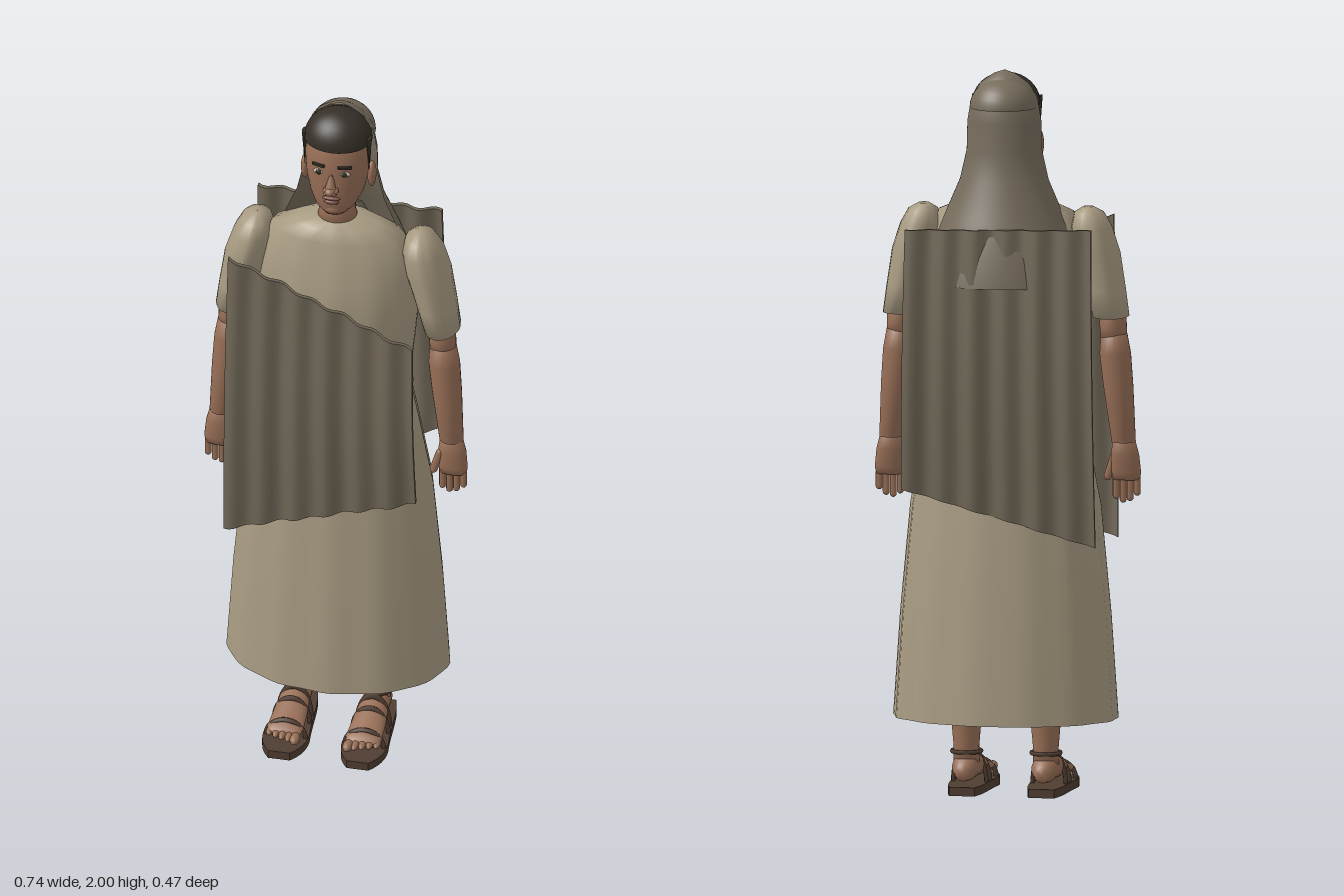
import * as THREE from 'three';

const mat = (name, color, side = THREE.FrontSide) => {
  const m = new THREE.MeshStandardMaterial({ color, side });
  m.name = name;
  return m;
};

// Elliptical rings [y, rx, rz, cx, cz] listed from top to bottom, skinned into one smooth surface.
function loft(rings, { sides = 24, folds = 0, depth = 0, closed = true } = {}) {
  const pos = [], idx = [];
  const first = rings[0], last = rings[rings.length - 1];
  const shrink = r => [r[0], 0.0005, 0.0005, r[3], r[4]];
  const all = closed ? [shrink(first), ...rings, shrink(last)] : rings;
  all.forEach(([y, rx, rz, cx = 0, cz = 0]) => {
    for (let i = 0; i < sides; i++) {
      const a = (i / sides) * Math.PI * 2;
      const k = 1 + depth * Math.sin(a * folds + 0.6) * (0.7 + 0.3 * Math.cos(a * 3));
      pos.push(cx + rx * k * Math.sin(a), y, cz + rz * k * Math.cos(a));
    }
  });
  for (let j = 0; j < all.length - 1; j++) {
    for (let i = 0; i < sides; i++) {
      const u = j * sides + i, u1 = j * sides + (i + 1) % sides;
      idx.push(u, u + sides, u1, u + sides, u1 + sides, u1);
    }
  }
  const g = new THREE.BufferGeometry();
  g.setAttribute('position', new THREE.Float32BufferAttribute(pos, 3));
  g.setIndex(idx);
  g.computeVertexNormals();
  return g;
}

// Hanging cloth: a thin box bent into vertical pleats between sloping top and bottom edges.
function clothPanel(z0, out, topY, bottomY) {
  const g = new THREE.BoxGeometry(1, 1, 0.012, 40, 10, 1);
  const p = g.attributes.position;
  for (let i = 0; i < p.count; i++) {
    const u = p.getX(i) + 0.5, v = p.getY(i) + 0.5;
    const top = THREE.MathUtils.lerp(topY[0], topY[1], u);
    const bottom = THREE.MathUtils.lerp(bottomY[0], bottomY[1], u);
    const x = THREE.MathUtils.lerp(-0.28 + 0.012 * v, 0.257 - 0.01 * v, u);
    const wave = 0.008 * Math.sin(u * Math.PI * 12) + 0.003 * Math.sin(u * 17);
    const bow = 0.018 * Math.sin(v * Math.PI);
    p.setXYZ(i, x, THREE.MathUtils.lerp(bottom, top, v), z0 + p.getZ(i) + wave + out * bow);
  }
  g.computeVertexNormals();
  return g;
}

export function createModel() {
  const model = new THREE.Group();
  const tunic = mat('tunic linen', 0xa89b82, THREE.DoubleSide);
  const shawl = mat('shawl wool', 0x716858);
  const veilCloth = mat('veil cloth', 0x766c5c, THREE.DoubleSide);
  const skin = mat('skin', 0x986f57);
  const hair = mat('dark hair', 0x352f27);
  const leather = mat('sandal leather', 0x4f3d31);
  const eyeWhite = mat('eye white', 0xb8ab9a);
  const lip = mat('lips', 0x754b3e);

  const add = (name, geo, material, parent = model) => {
    const m = new THREE.Mesh(geo, material);
    m.name = name;
    parent.add(m);
    return m;
  };
  const ball = (name, material, pos, size, parent = model) => {
    const m = add(name, new THREE.SphereGeometry(1, 16, 10), material, parent);
    m.position.set(...pos);
    m.scale.set(...size);
    return m;
  };
  const group = name => {
    const g = new THREE.Group();
    g.name = name;
    model.add(g);
    return g;
  };

  // Tunic: bodice, belt and long skirt
  add('bodice', loft([
    [1.66, 0.062, 0.055, 0, 0.005], [1.64, 0.115, 0.075, 0, 0], [1.61, 0.185, 0.092, 0, 0],
    [1.5, 0.212, 0.125, 0, -0.006], [1.4, 0.222, 0.147, 0, -0.012],
    [1.28, 0.21, 0.145, 0, -0.014], [1.1, 0.19, 0.135, 0, -0.014],
  ], { sides: 48, folds: 12, depth: 0.018 }), tunic);
  add('belt', loft([[1.165, 0.203, 0.146, 0, -0.013], [1.11, 0.206, 0.148, 0, -0.013]], { sides: 32 }), tunic);
  add('skirt', loft([
    [1.14, 0.195, 0.137, 0, -0.013], [1.0, 0.224, 0.152, 0, -0.013], [0.8, 0.262, 0.175, 0, -0.013],
    [0.5, 0.29, 0.2, 0, -0.013], [0.215, 0.309, 0.22, 0, -0.013],
  ], { sides: 60, folds: 13, depth: 0.016, closed: false }), tunic);

  // Shawl panels in front and behind
  add('frontShawl', clothPanel(0.168, 1, [1.58, 1.35], [0.69, 0.85]), shawl);
  add('backShawl', clothPanel(-0.193, -1, [1.585, 1.575], [0.71, 0.86]), shawl);

  // Head and neck
  const head = group('head');
  add('neck', loft([[1.75, 0.05, 0.05, 0, 0], [1.68, 0.05, 0.05, 0, 0.005], [1.63, 0.06, 0.055, 0, 0]]), skin, head);
  add('face', loft([
    [1.96, 0.05, 0.045, 0, 0], [1.92, 0.08, 0.073, 0, 0], [1.86, 0.09, 0.085, 0, -0.002],
    [1.8, 0.086, 0.084, 0, -0.002], [1.75, 0.074, 0.074, 0, 0.006],
    [1.715, 0.055, 0.052, 0, 0.025], [1.695, 0.032, 0.03, 0, 0.036],
  ], { sides: 32 }), skin, head);
  const nose = add('nose', new THREE.ConeGeometry(0.02, 0.075, 8), skin, head);
  nose.position.set(0, 1.815, 0.084);
  nose.rotation.x = -0.25;
  ball('noseTip', skin, [0, 1.79, 0.097], [0.014, 0.012, 0.017], head);
  ball('upperLip', lip, [0, 1.757, 0.08], [0.026, 0.006, 0.008], head);
  ball('lowerLip', lip, [0, 1.745, 0.079], [0.021, 0.007, 0.009], head);
  ball('chin', skin, [0, 1.715, 0.063], [0.025, 0.018, 0.016], head);
  for (const s of [-1, 1]) {
    ball('nostril', skin, [s * 0.013, 1.787, 0.088], [0.009, 0.009, 0.012], head);
    ball('eye', eyeWhite, [s * 0.036, 1.838, 0.074], [0.017, 0.008, 0.007], head);
    ball('iris', hair, [s * 0.036, 1.838, 0.079], [0.008, 0.008, 0.004], head);
    const brow = add('eyebrow', new THREE.BoxGeometry(0.038, 0.007, 0.008), hair, head);
    brow.position.set(s * 0.037, 1.86, 0.077);
    brow.rotation.set(0, s * 0.4, -s * 0.08);
    ball('ear', skin, [s * 0.093, 1.795, -0.01], [0.012, 0.04, 0.022], head);
    const lock = add('sideLock', new THREE.ConeGeometry(0.016, 0.11, 8), hair, head);
    lock.position.set(s * 0.09, 1.87, 0.012);
    lock.rotation.x = Math.PI;
    lock.scale.x = 0.5;
  }

  // Hair cap: upper half of an ellipsoid, flat along the brow
  const cap = add('hairCap', new THREE.SphereGeometry(1, 32, 10, 0, Math.PI * 2, 0, Math.PI / 2), hair, head);
  cap.scale.set(0.094, 0.085, 0.086);
  cap.position.set(0, 1.905, -0.006);

  // Veil: back half of a flaring lathe
  const veilProfile = [
    [0.22, 1.42], [0.205, 1.5], [0.165, 1.6], [0.122, 1.7], [0.104, 1.78],
    [0.102, 1.86], [0.092, 1.92], [0.066, 1.965], [0.03, 1.99], [0.001, 2.0],
  ].map(([x, y]) => new THREE.Vector2(x, y));
  const veil = add('veil', new THREE.LatheGeometry(veilProfile, 32, Math.PI / 2, Math.PI), veilCloth);
  veil.position.z = -0.03;
  veil.scale.z = 0.9;
  const crown = ball('veilCrown', veilCloth, [0, 1.9, -0.05], [0.092, 0.08, 0.1]);
  crown.geometry = new THREE.SphereGeometry(1, 24, 8, Math.PI, Math.PI, 0, Math.PI / 2);

  for (const s of [-1, 1]) {
    // Sleeve, arm and hand
    const arm = group(s > 0 ? 'leftArm' : 'rightArm');
    add('sleeve', loft([
      [1.625, 0.015, 0.02, s * 0.228, -0.008], [1.61, 0.04, 0.055, s * 0.23, -0.008],
      [1.57, 0.055, 0.079, s * 0.237, -0.008], [1.5, 0.061, 0.082, s * 0.254, -0.008],
      [1.4, 0.054, 0.08, s * 0.276, -0.008], [1.325, 0.049, 0.076, s * 0.291, -0.008],
    ], { sides: 32, folds: 9, depth: 0.02 }), tunic, arm);
    add('upperArm', loft([
      [1.36, 0.038, 0.042, s * 0.292, 0.005], [1.29, 0.037, 0.039, s * 0.295, 0.006],
      [1.255, 0.036, 0.037, s * 0.297, 0.007],
    ]), skin, arm);
    add('forearm', loft([
      [1.275, 0.036, 0.038, s * 0.297, 0.007], [1.22, 0.043, 0.044, s * 0.3, 0.008],
      [1.13, 0.041, 0.042, s * 0.308, 0.011], [0.975, 0.033, 0.033, s * 0.322, 0.016],
    ]), skin, arm);
    add('palm', loft([
      [0.985, 0.03, 0.025, s * 0.322, 0.017], [0.94, 0.039, 0.027, s * 0.325, 0.02],
      [0.89, 0.041, 0.022, s * 0.328, 0.023], [0.87, 0.037, 0.017, s * 0.328, 0.024],
    ]), skin, arm);
    [0.05, 0.06, 0.055, 0.04].forEach((len, i) => {
      const finger = add('finger', new THREE.CapsuleGeometry(0.0095, len, 4, 8), skin, arm);
      finger.position.set(s * (0.299 + i * 0.0195), 0.875 - len / 2, 0.025);
    });
    const thumb = add('thumb', new THREE.CapsuleGeometry(0.011, 0.06, 4, 8), skin, arm);
    thumb.position.set(s * 0.284, 0.905, 0.03);
    thumb.rotation.z = -s * 0.3;

    // Leg, foot and sandal, built around the ankle
    const leg = group(s > 0 ? 'leftLeg' : 'rightLeg');
    leg.position.x = s * 0.11;
    add('shin', loft([
      [0.5, 0.058, 0.055, 0, -0.01], [0.22, 0.043, 0.042, 0, -0.008],
      [0.13, 0.035, 0.036, 0, -0.006], [0.08, 0.036, 0.038, 0, -0.005],
    ]), skin, leg);
    const foot = loft([
      [0.185, 0.046, 0.012, 0, -0.048], [0.16, 0.05, 0.017, 0, -0.052], [0.1, 0.047, 0.026, 0, -0.061],
      [0.03, 0.04, 0.04, 0, -0.075], [-0.03, 0.036, 0.037, 0, -0.072], [-0.06, 0.022, 0.022, 0, -0.06],
    ]);
    foot.rotateX(Math.PI / 2);
    add('foot', foot, skin, leg);
    for (let i = 0; i < 5; i++) {
      const r = i === 0 ? 0.014 : 0.01;
      ball('toe', skin, [s * (-0.036 + i * 0.019), 0.046, 0.2 - i * 0.007], [r, r, 0.024], leg);
    }
    const outline = new THREE.Shape();
    outline.moveTo(-0.035, -0.08);
    outline.lineTo(0.035, -0.08);
    outline.bezierCurveTo(0.055, -0.02, 0.05, 0.05, 0.063, 0.14);
    outline.quadraticCurveTo(0.066, 0.2, 0.03, 0.24);
    outline.lineTo(-0.03, 0.24);
    outline.quadraticCurveTo(-0.066, 0.2, -0.063, 0.14);
    outline.bezierCurveTo(-0.05, 0.05, -0.055, -0.02, -0.035, -0.08);
    const sole = new THREE.ExtrudeGeometry(outline, { depth: 0.024, bevelEnabled: false, curveSegments: 8 });
    sole.rotateX(Math.PI / 2).translate(0, 0.024, 0);
    add('sole', sole, leather, leg);
    // Straps: z, half width, height of the arch
    for (const [z, w, h] of [[0.155, 0.054, 0.05], [0.08, 0.05, 0.072], [0.045, 0.046, 0.09]]) {
      const strap = add('strap', new THREE.TorusGeometry(1, 0.13, 6, 20, Math.PI), leather, leg);
      strap.scale.set(w, h, 0.06);
      strap.position.set(0, 0.024, z);
    }
    const ankle = add('ankleStrap', new THREE.TorusGeometry(0.04, 0.006, 6, 20), leather, leg);
    ankle.rotation.x = Math.PI / 2;
    ankle.position.set(0, 0.115, -0.003);
  }
  return model;
}
